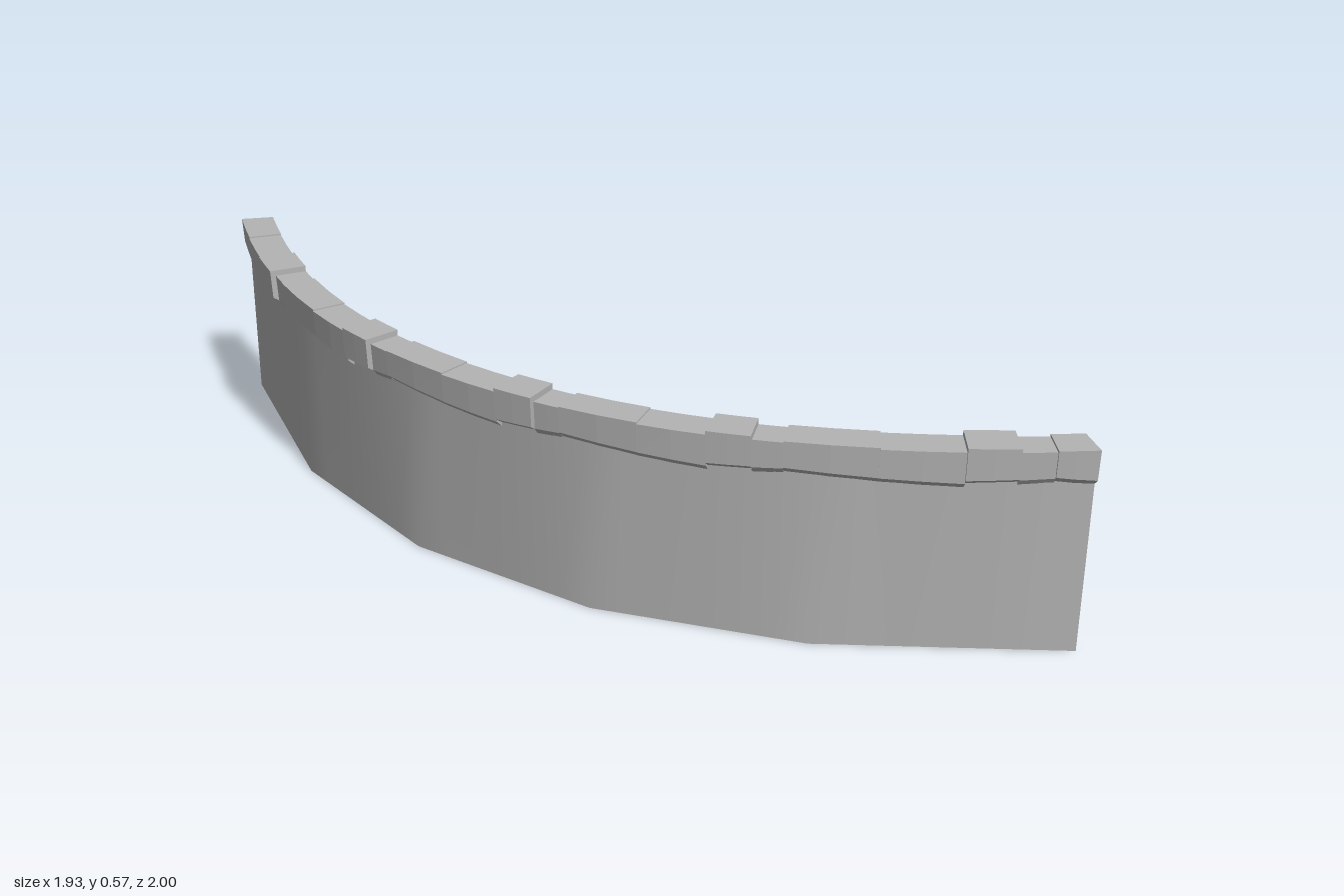
import * as THREE from 'three';

// Inner foot line of the wall, from the +x end to the -z end
const corners = [[0.97, 0.91], [0.36, 0.76], [-0.12, 0.5], [-0.5, 0.11], [-0.75, -0.38], [-0.87, -1]]
  .map(([x, z]) => new THREE.Vector3(x, 0, z));
const SPANS = corners.length - 1;
const curve = new THREE.CatmullRomCurve3(
  [new THREE.Vector3(1.65, 0, 0.94), ...corners, new THREE.Vector3(-0.87, 0, -1.68)], false, 'catmullrom', 0.5);

// Outward direction at span position s (0..SPANS), squared off at both ends
function outward(s) {
  if (s <= 0) return new THREE.Vector3(0, 0, 1);
  if (s >= SPANS) return new THREE.Vector3(-1, 0, 0);
  const t = curve.getTangent((s + 1) / (SPANS + 2));
  return new THREE.Vector3(t.z, 0, -t.x).normalize();
}

// Point on the smooth top curve, offset outward by d
function curved(s, d, y) {
  const p = curve.getPoint((s + 1) / (SPANS + 2)).addScaledVector(outward(s), d);
  return new THREE.Vector3(Math.min(p.x, 0.97), y, Math.max(p.z, -1));
}

// Point on the straight-sided foot line, offset outward by d
function faceted(s, d, y) {
  const i = Math.min(Math.floor(s), SPANS - 1);
  const at = (k) => corners[k].clone().addScaledVector(outward(k), d);
  return at(i).lerp(at(i + 1), s - i).setY(y);
}

// Surface through rows of points, optionally closed at the start and end
function loft(rows, startCap, endCap) {
  const n = rows[0].length, index = [];
  for (let i = 0; i < rows.length - 1; i++) {
    for (let j = 0; j < n - 1; j++) {
      const a = i * n + j, b = a + n;
      index.push(a, a + 1, b, a + 1, b + 1, b);
    }
  }
  const last = (rows.length - 1) * n;
  for (let j = 1; j < n - 1; j++) {
    if (startCap) index.push(0, j + 1, j);
    if (endCap) index.push(last, last + j, last + j + 1);
  }
  const geometry = new THREE.BufferGeometry().setFromPoints(rows.flat());
  geometry.setIndex(index);
  return geometry;
}

export function createModel() {
  const group = new THREE.Group();
  const stone = new THREE.MeshStandardMaterial({ color: 0xb4b4b4, side: THREE.DoubleSide });
  stone.name = 'grey stone';

  function add(name, geometry, flat, parent = group) {
    const g = flat ? geometry.toNonIndexed() : geometry;
    g.computeVertexNormals();
    const mesh = new THREE.Mesh(g, stone);
    mesh.name = name;
    parent.add(mesh);
  }

  // Wall faces: straight at the foot, curved at the top
  const THICK = 0.075, STEPS = 6;
  const outer = [], inner = [];
  for (let k = 0; k <= SPANS * STEPS; k++) {
    const s = k / STEPS;
    outer.push([faceted(s, THICK, 0), curved(s, THICK, 0.5)]);
    inner.push([curved(s, 0, 0.535), faceted(s, 0, 0)]);
  }
  add('outerWall', loft(outer), false);
  add('innerWall', loft(inner), false);

  // Closed far end
  const e = SPANS;
  add('wallEnd', loft([
    [faceted(e, 0, 0), faceted(e, 0, 0.535)],
    [faceted(e, THICK, 0), faceted(e, THICK, 0.535)],
  ]), true);

  // Coping stones, the same four repeated on every span
  const coping = new THREE.Group();
  coping.name = 'copingStones';
  group.add(coping);
  const pattern = [
    { from: -0.24, to: 0.13, top: 0.556, out: 0.094, low: [0.475, 0.485] },
    { from: 0.13, to: 0.26, top: 0.55, out: 0.088, low: [0.48, 0.475] },
    { from: 0.26, to: 0.45, top: 0.566, out: 0.104, low: [0.485, 0.48] },
    { from: 0.45, to: 0.76, top: 0.552, out: 0.095, low: [0.468, 0.475] },
  ];
  for (let span = 0; span <= SPANS; span++) {
    for (const { from, to, top, out, low } of pattern) {
      const a = Math.max(span + from, 0), b = Math.min(span + to, SPANS);
      if (a >= b) continue;
      const rows = [];
      for (let k = 0; k <= 2; k++) {
        const s = a + (b - a) * k / 2;
        const y = low[0] + (low[1] - low[0]) * k / 2;
        rows.push([
          curved(s, 0.07, y - 0.02), curved(s, out - 0.004, y),
          curved(s, out, top), curved(s, 0, top), curved(s, 0, 0.533),
        ]);
      }
      add('copingStone', loft(rows, a > 0, true), true, coping);
    }
  }
  return group;
}
